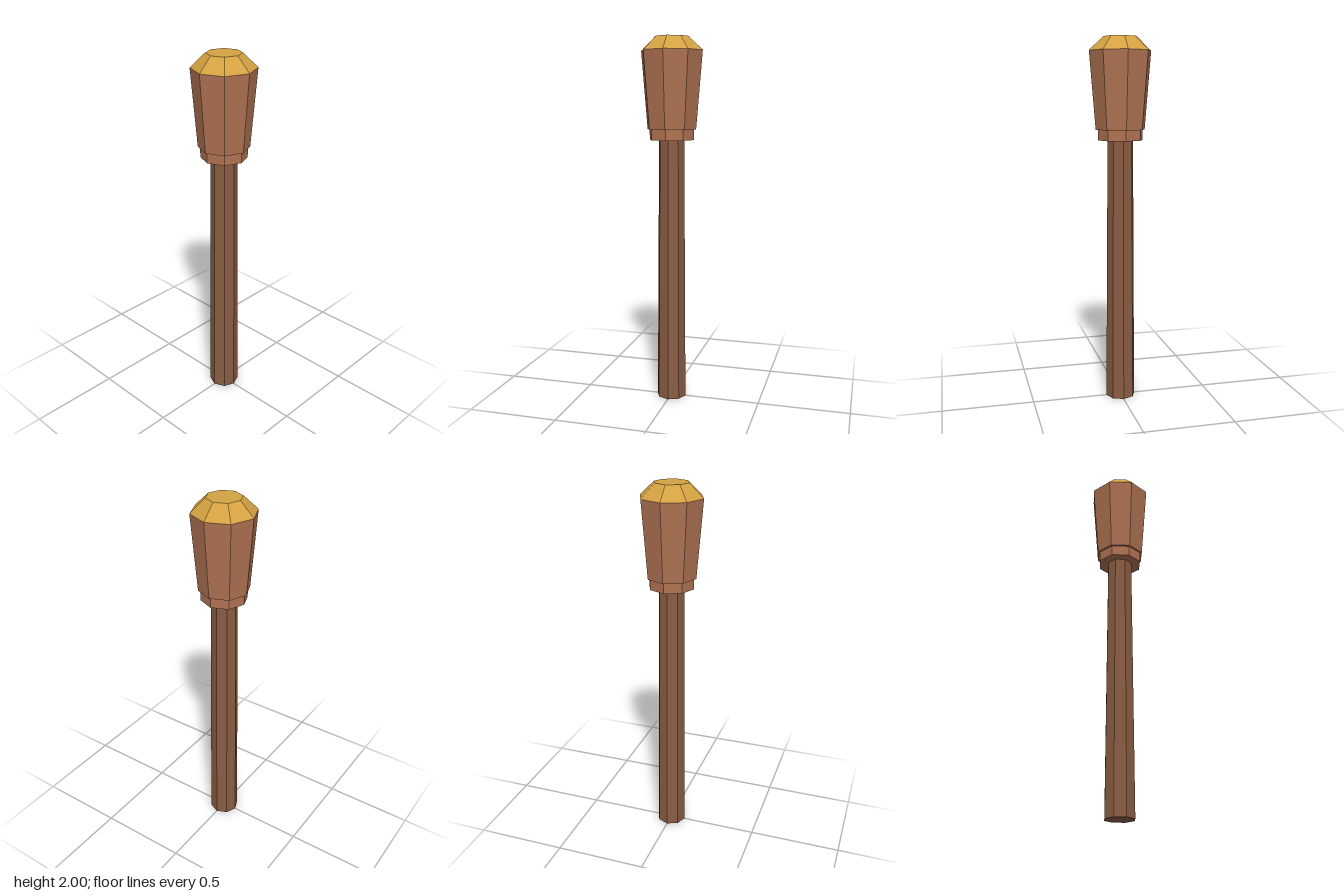
import * as THREE from 'three';

const SIDES = 8;

// One tapered octagonal section standing between two heights
function section(name, color, bottomRadius, topRadius, y0, y1) {
  const geometry = new THREE.CylinderGeometry(topRadius, bottomRadius, y1 - y0, SIDES);
  geometry.translate(0, (y0 + y1) / 2, 0);
  const mesh = new THREE.Mesh(geometry, new THREE.MeshStandardMaterial({ color, flatShading: true }));
  mesh.name = name;
  return mesh;
}

export function createModel() {
  const wood = 0x8a5d43, clay = 0xb07353, gold = 0xd4a242;
  const model = new THREE.Group();
  model.name = 'torch';
  model.add(
    section('shaft', wood, 0.082, 0.071, 0, 1.455),
    section('collar', clay, 0.124, 0.124, 1.455, 1.512),
    section('head', clay, 0.136, 0.17, 1.512, 1.927),
    section('cap', gold, 0.17, 0.093, 1.927, 2),
  );
  return model;
}
